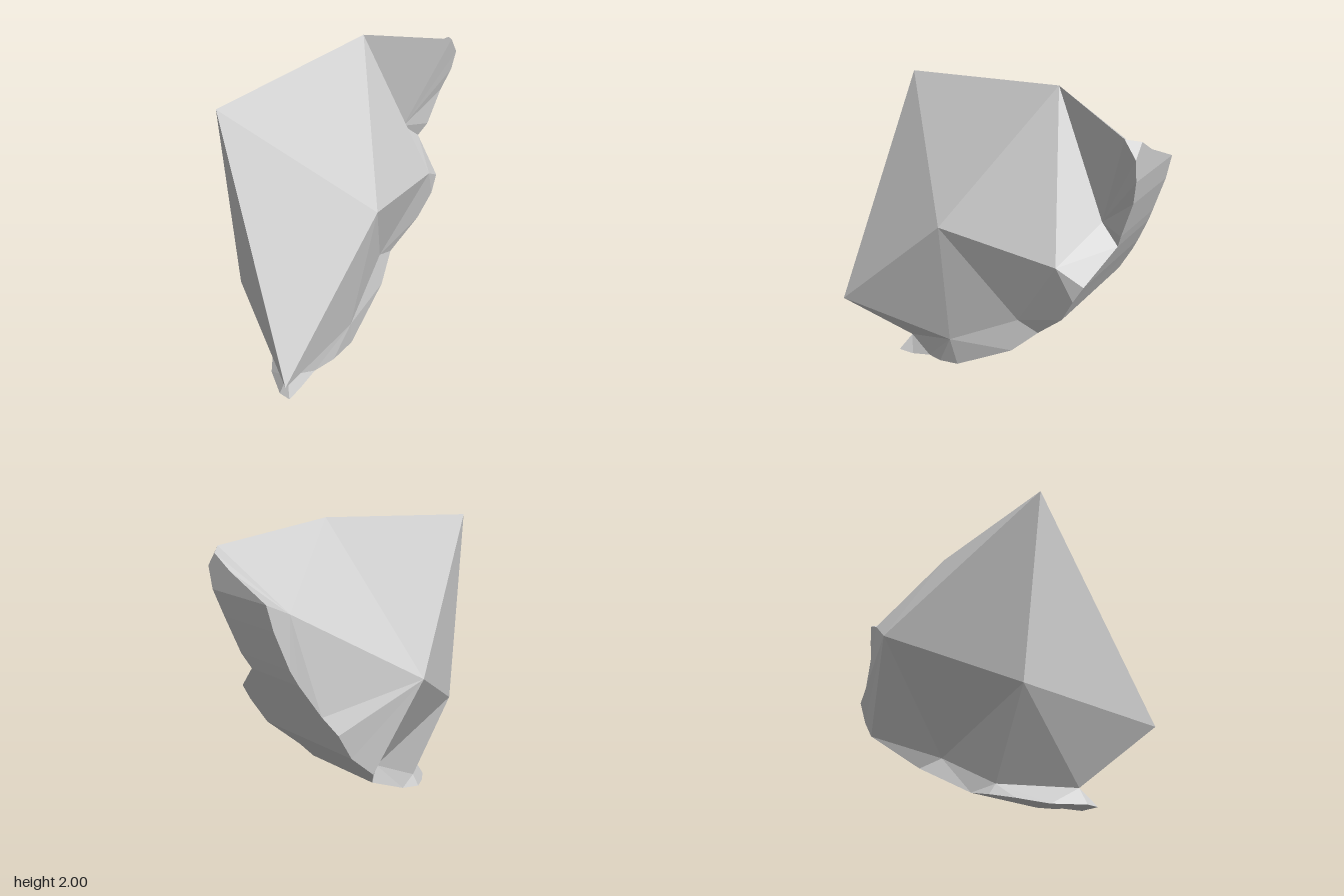
import * as THREE from 'three';

// Corners of the broken outer faces
const corner = {
  A: [-0.98, 0.44, 0.55], B: [-0.15, 1.19, 0.545], C: [-0.78, 1.89, -0.07],
  D: [0.35, 2.0, 0.04], E: [0.58, 1.085, 0.43], F: [0.705, 1.285, 0.13],
  N: [0.9, 1.88, 0.325], M: [0.84, 1.58, -0.2], K: [0.16, 1.12, -0.555],
  L: [-0.63, 0.65, -0.12], S: [-0.645, 0.11, 0.26], V: [-0.2, 0.315, 0.41],
  W: [0.25, 0.56, 0.3], X: [0.11, 0.4, -0.13], Y: [-0.32, 0.15, -0.07],
};

// Stations down the curved face: x, y, front z, back z
const stations = [
  [0.97, 1.86, 0.26, 0.26], [0.97, 1.78, 0.325, 0.13], [0.97, 1.65, 0.3, -0.165],
  [0.94, 1.5, 0.25, -0.18], [0.865, 1.27, 0.215, -0.21], [0.83, 1.18, 0.17, -0.24],
  [0.74, 0.99, 0.39, -0.32], [0.68, 0.88, 0.4, -0.385], [0.59, 0.71, 0.36, -0.395],
  [0.45, 0.57, 0.31, -0.43], [0.39, 0.51, 0.29, -0.37], [0.23, 0.35, 0.34, -0.21],
  [-0.16, 0.125, 0.39, -0.12], [-0.32, 0.08, 0.37, -0.12], [-0.45, 0.045, 0.32, -0.04],
  [-0.6, 0, 0.32, 0.08], [-0.71, 0, 0.33, 0.25],
];
stations.forEach(([x, y, front, back], i) => {
  corner['f' + i] = [x, y, front];
  corner['b' + i] = [x, y, back];
});

// Each fan: a centre corner, then its neighbours in counter-clockwise order
const rockFans = [
  // front
  'A S V B C', 'B E D C', 'E W f8 f7 f6 f5 F D',
  'F f5 f4 f3 f2 f1 N D', 'N f1 f0',
  'W f11 f10 f9 f8', 'W E B V f11', 'V S f14 f13 f12 f11',
  // top
  'D N M K C',
  'M N f0 b1 b2 b3 b4 b5 b6 K',
  // back
  'K M b6 b7 b8 b9 X L C',
  'X b9 b10 b11 b12 Y L', 'Y b12 b13 b14 b15 S L', 'L S A C',
  // lower tip
  'S b15 b16 f16 f15 f14',
];

function fanMesh(name, fans, material) {
  const seen = new Set();
  const positions = [];
  for (const fan of fans) {
    const [centre, ...ring] = fan.split(' ');
    for (let i = 0; i + 1 < ring.length; i++) {
      const tri = [centre, ring[i], ring[i + 1]];
      const key = [...tri].sort().join();
      if (seen.has(key)) continue; // neighbouring fans may share a triangle
      seen.add(key);
      tri.forEach((k) => positions.push(...corner[k]));
    }
  }
  const geometry = new THREE.BufferGeometry();
  geometry.setAttribute('position', new THREE.Float32BufferAttribute(positions, 3));
  geometry.computeVertexNormals();
  const mesh = new THREE.Mesh(geometry, material);
  mesh.name = name;
  return mesh;
}

export function createModel() {
  const group = new THREE.Group();
  group.name = 'rockFragment';
  const material = new THREE.MeshStandardMaterial({
    color: 0xcccccc, flatShading: true, side: THREE.DoubleSide,
  });

  // Curved face swept straight across from front rim to back rim
  const curvedFans = stations.slice(1).map((_, i) => {
    const j = i + 1;
    return i === 0 ? `f0 f${j} b${j}` : `f${i} f${j} b${j} b${i}`;
  });

  group.add(fanMesh('brokenFaces', rockFans, material));
  group.add(fanMesh('curvedFace', curvedFans, material));
  return group;
}
